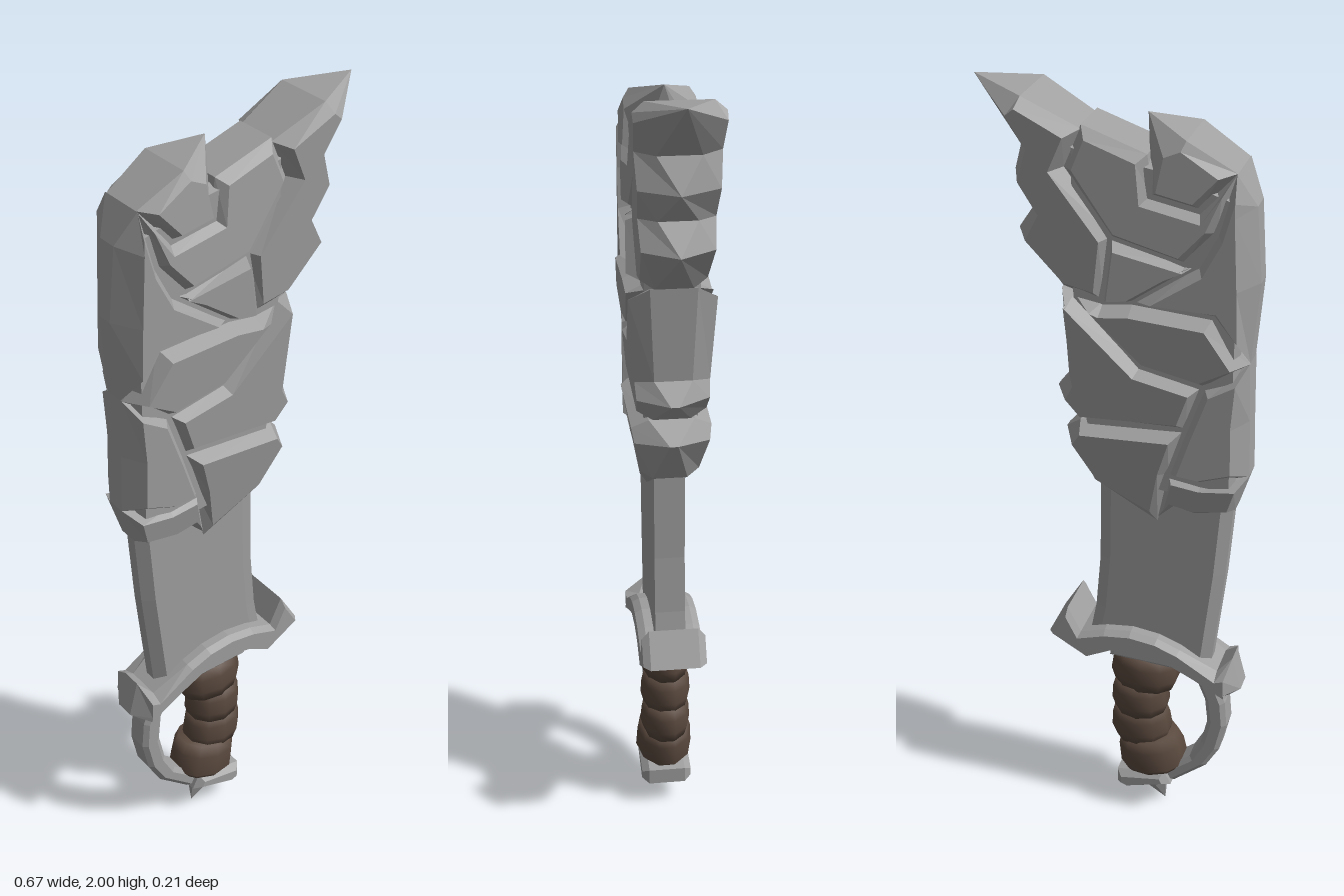
import * as THREE from 'three';

const steel = new THREE.MeshStandardMaterial({ color: 0xa0a0a0 });
steel.name = 'steel';
const leather = new THREE.MeshStandardMaterial({ color: 0x5b4a3f });
leather.name = 'brownLeather';

// Bevelled slab: outline points are [x, y, half depth at the rim, inset factor];
// the flat caps are inset and lie at half depth `cap`, tilted by tx and ty.
function slab(name, points, { rim = 0.055, cap = 0.095, inset = 0.022, tx = 0, ty = 0 } = {}) {
  const pts = points.map(([x, y, d = rim, k = 1]) => ({ x, y, d, k }));
  if (THREE.ShapeUtils.area(pts) < 0) pts.reverse();
  const n = pts.length;
  const cx = pts.reduce((s, p) => s + p.x, 0) / n;
  const cy = pts.reduce((s, p) => s + p.y, 0) / n;

  // Inset each corner along its mitre
  const top = pts.map((p, i) => {
    const a = pts[(i + n - 1) % n], b = pts[(i + 1) % n];
    const n1 = new THREE.Vector2(a.y - p.y, p.x - a.x).normalize();
    const n2 = new THREE.Vector2(p.y - b.y, b.x - p.x).normalize();
    const m = n1.clone().add(n2).normalize();
    const len = p.k * inset / Math.max(0.4, m.dot(n1));
    const x = p.x + m.x * len, y = p.y + m.y * len;
    return new THREE.Vector3(x, y, cap + tx * (x - cx) + ty * (y - cy));
  });

  const pos = [];
  const tri = (a, b, c) => [a, b, c].forEach((v) => pos.push(v.x, v.y, v.z));
  const quad = (a, b, c, d) => { tri(a, b, c); tri(a, c, d); };
  const flip = (v) => new THREE.Vector3(v.x, v.y, -v.z);
  const ring = pts.map((p) => new THREE.Vector3(p.x, p.y, p.d));
  for (let i = 0; i < n; i++) {
    const j = (i + 1) % n;
    quad(flip(ring[i]), flip(ring[j]), ring[j], ring[i]);
    quad(ring[i], ring[j], top[j], top[i]);
    quad(flip(top[i]), flip(top[j]), flip(ring[j]), flip(ring[i]));
  }
  const flat = top.map((v) => new THREE.Vector2(v.x, v.y));
  for (const [a, b, c] of THREE.ShapeUtils.triangulateShape(flat, [])) {
    tri(top[a], top[b], top[c]);
    tri(flip(top[a]), flip(top[c]), flip(top[b]));
  }
  const geo = new THREE.BufferGeometry();
  geo.setAttribute('position', new THREE.Float32BufferAttribute(pos, 3));
  geo.computeVertexNormals();
  const mesh = new THREE.Mesh(geo, steel);
  mesh.name = name;
  return mesh;
}

// Craggy plates that make up the head of the blade
function makeHead() {
  const head = new THREE.Group();
  head.name = 'craggyBladeHead';
  head.add(
    slab('headCore', [[-0.3, 1.02], [-0.3, 1.8], [-0.1, 1.86], [0.1, 1.89], [0.1, 1.55],
      [0.09, 1.3], [0.04, 1.05]], { rim: 0.04, cap: 0.065, inset: 0.01 }),
    slab('leftEdgePlate', [[-0.28, 1.86, 0.06], [-0.32, 1.78, 0.025, 1.6], [-0.335, 1.6, 0.02, 1.8],
      [-0.32, 1.4, 0.025, 1.4], [-0.24, 1.52], [-0.05, 1.53], [-0.2, 1.64], [-0.24, 1.72]],
    { cap: 0.092, tx: 0.06 }),
    slab('topLeftPlate', [[-0.28, 1.86], [-0.17, 1.925, 0.07], [-0.065, 1.955, 0, 2.2], [-0.09, 1.79],
      [-0.2, 1.77]], { cap: 0.088, ty: -0.08 }),
    slab('upperPlate', [[-0.28, 1.86], [-0.2, 1.77], [-0.09, 1.79], [-0.08, 1.88], [0.07, 1.93], [0.11, 1.83],
      [0, 1.68], [-0.17, 1.64], [-0.24, 1.72]], { cap: 0.084, ty: -0.06 }),
    slab('tipPlate', [[0.07, 1.92], [0.2, 1.985, 0.075], [0.335, 2, 0, 2.2], [0.21, 1.87, 0.05],
      [0.245, 1.79, 0, 1.5], [0.19, 1.72, 0.045], [0.24, 1.65, 0, 1.5], [0.12, 1.54, 0.045],
      [0.02, 1.52], [0, 1.68], [0.11, 1.83]], { cap: 0.09, ty: 0.06 }),
    slab('centrePlate', [[0, 1.68], [0.02, 1.52], [-0.05, 1.53], [-0.2, 1.64], [-0.17, 1.64]],
      { cap: 0.09, inset: 0.016, tx: 0.1 }),
    slab('middleLeftPlate', [[-0.32, 1.4, 0.03], [-0.24, 1.52], [-0.05, 1.53], [0.02, 1.52], [0.09, 1.53],
      [-0.07, 1.37], [-0.22, 1.34]], { cap: 0.098, ty: 0.08 }),
    slab('middleRightPlate', [[0.12, 1.54], [0.11, 1.31, 0.045], [0.15, 1.26, 0.01, 1.4], [0.08, 1.2, 0.045],
      [-0.18, 1.22], [-0.22, 1.34], [-0.07, 1.37], [0.09, 1.53]], { cap: 0.092, ty: 0.07 }),
    slab('lowerLeftPlate', [[-0.32, 1.4, 0.03], [-0.22, 1.34], [-0.18, 1.22], [-0.14, 1.09], [-0.22, 1.08],
      [-0.33, 1.1, 0.025, 1.5], [-0.325, 1.25, 0.025, 1.5]], { cap: 0.086, tx: 0.08 }),
    slab('lowerRightPlate', [[-0.18, 1.22], [0.08, 1.2], [0.13, 1.15, 0.01, 1.4], [0.05, 1.03, 0.042],
      [-0.11, 0.94, 0.04], [-0.14, 1.09]], { cap: 0.083, ty: 0.18 }),
    slab('lowerTipPlate', [[-0.33, 1.1, 0.025], [-0.22, 1.08], [-0.14, 1.09], [-0.11, 0.95, 0.04],
      [-0.15, 0.99, 0.04], [-0.2, 0.98, 0.04], [-0.3, 1, 0.025]], { cap: 0.068, inset: 0.016, ty: 0.22 }),
  );
  return head;
}

// Grip made of overlapping leather wraps: x, y, half width, tilt
function makeGrip() {
  const grip = new THREE.Group();
  grip.name = 'grip';
  const wraps = [[-0.073, 0.455, 0.092, 0.05], [-0.06, 0.362, 0.078, -0.03],
    [-0.063, 0.272, 0.082, -0.08], [-0.094, 0.182, 0.093, -0.17]];
  wraps.forEach(([x, y, r, tilt], i) => {
    const last = i === wraps.length - 1;
    const profile = [[0, -0.054], [r * 0.88, -0.052], [r, last ? -0.038 : -0.02], [r * 0.96, 0.02],
      [r * 0.84, 0.052], [0, 0.054]].map(([a, b]) => new THREE.Vector2(a, b));
    const wrap = new THREE.Mesh(new THREE.LatheGeometry(profile, 10), leather);
    wrap.name = 'gripWrap';
    wrap.position.set(x, y, 0);
    wrap.rotation.z = tilt;
    wrap.scale.z = (last ? 0.075 : 0.066) / r;
    grip.add(wrap);
  });
  return grip;
}

export function createModel() {
  const model = new THREE.Group();
  model.name = 'craggySword';

  // Plain lower blade with a sharpened left edge
  const blade = slab('lowerBlade', [[-0.25, 0.5, 0.015], [-0.265, 0.65, 0.015], [-0.28, 0.8, 0.015],
    [-0.297, 1.05, 0.015], [0.035, 1.05], [0.038, 0.8], [0.05, 0.65], [0.07, 0.54]],
  { rim: 0.038, cap: 0.04, inset: 0.026 });

  // Curved crossguard: narrow on the left end, broad and flared on the right
  const guard = slab('crossguard', [[-0.335, 0.457, 0.025, 3], [-0.31, 0.55, 0.025, 2], [-0.275, 0.515, 0.045],
    [-0.18, 0.572], [-0.12, 0.594], [-0.05, 0.602], [0.02, 0.592], [0.085, 0.57], [0.12, 0.64],
    [0.17, 0.555], [0.065, 0.495], [0, 0.53], [-0.06, 0.54], [-0.13, 0.532], [-0.215, 0.492],
    [-0.305, 0.43, 0.025, 2]], { rim: 0.062, cap: 0.08, inset: 0.01 });
  const collar = slab('collar', [[-0.165, 0.5], [-0.15, 0.56], [0, 0.56], [0.01, 0.505]],
    { rim: 0.05, cap: 0.058, inset: 0.01 });

  // Knuckle bow sweeping into a broad pommel plate
  const bow = slab('knuckleBow', [[-0.265, 0.48], [-0.295, 0.4], [-0.302, 0.325], [-0.285, 0.24], [-0.25, 0.175],
    [-0.165, 0.1], [-0.06, 0.062], [-0.05, 0.12], [-0.14, 0.14], [-0.205, 0.195], [-0.235, 0.255],
    [-0.25, 0.33], [-0.242, 0.4], [-0.205, 0.49]], { rim: 0.026, cap: 0.037, inset: 0.012 });
  const pommel = slab('pommelPlate', [[-0.16, 0.1], [-0.04, 0.06], [-0.01, 0.072], [-0.01, 0.115], [-0.14, 0.14]],
    { rim: 0.048, cap: 0.066, inset: 0.015 });

  // Pointed end under the pommel
  const spike = new THREE.Mesh(new THREE.ConeGeometry(0.055, 0.1, 6).toNonIndexed(), steel);
  spike.geometry.computeVertexNormals();
  spike.name = 'pommelSpike';
  spike.scale.z = 0.65;
  spike.rotation.z = Math.PI - 0.4;
  spike.position.set(-0.113, 0.05, 0);

  model.add(makeHead(), blade, guard, collar, makeGrip(), bow, pommel, spike);
  return model;
}
